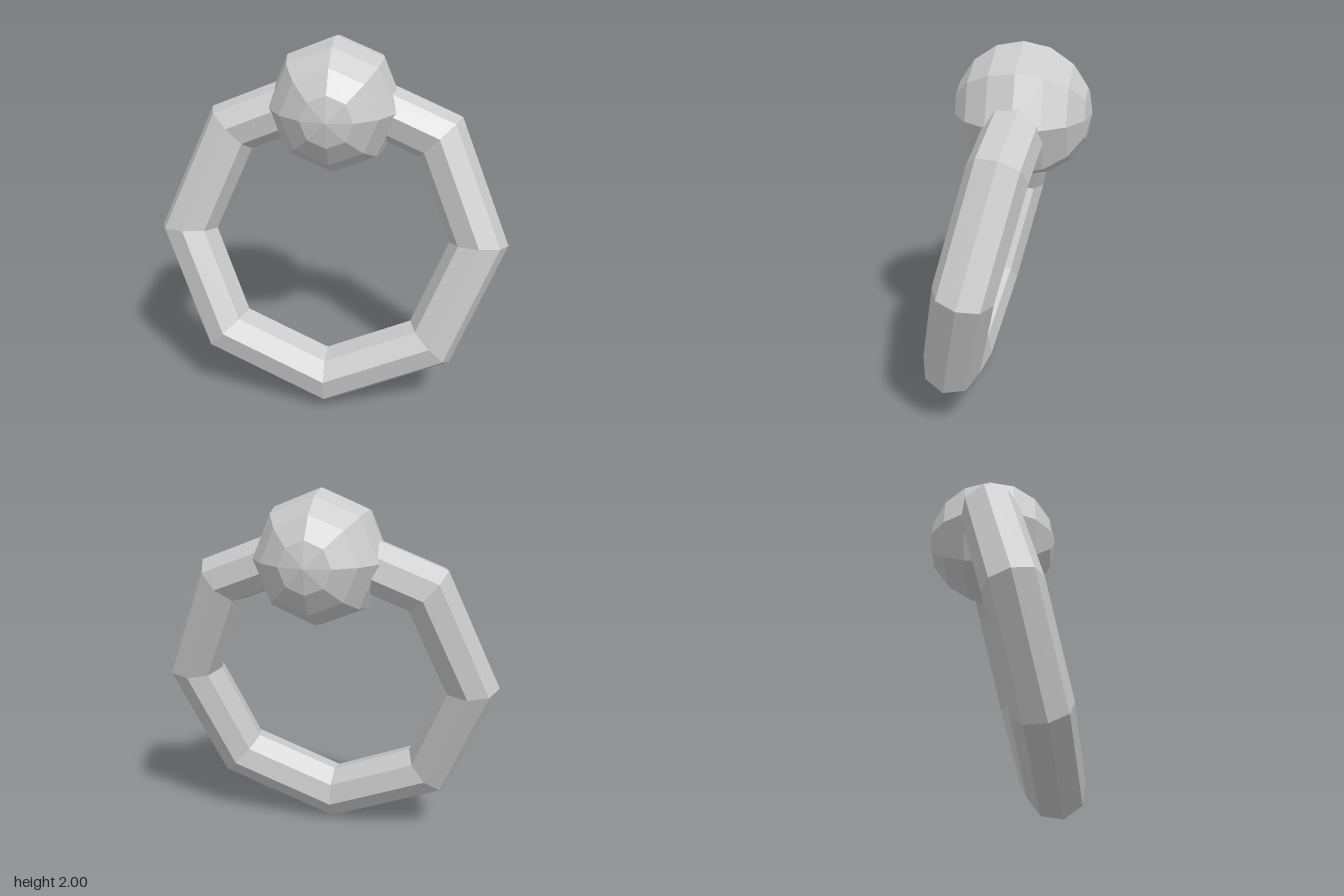
import * as THREE from 'three';

export function createModel() {
  const group = new THREE.Group();
  const material = new THREE.MeshStandardMaterial({ color: 0xcccccc, flatShading: true });

  // Octagonal ring, hanging with its lower end swung forward
  const ring = new THREE.Mesh(new THREE.TorusGeometry(0.8, 0.157, 8, 8), material);
  ring.name = 'ring';
  ring.rotation.x = THREE.MathUtils.degToRad(-13);
  ring.position.set(0, 0.934, 0.094);
  group.add(ring);

  // Faceted ball on top of the ring, its poles facing front and back
  const ball = new THREE.Mesh(new THREE.SphereGeometry(0.365, 8, 8), material);
  ball.name = 'ball';
  ball.rotation.x = Math.PI / 2;
  ball.position.set(0, 1.635, -0.062);
  group.add(ball);

  return group;
}
